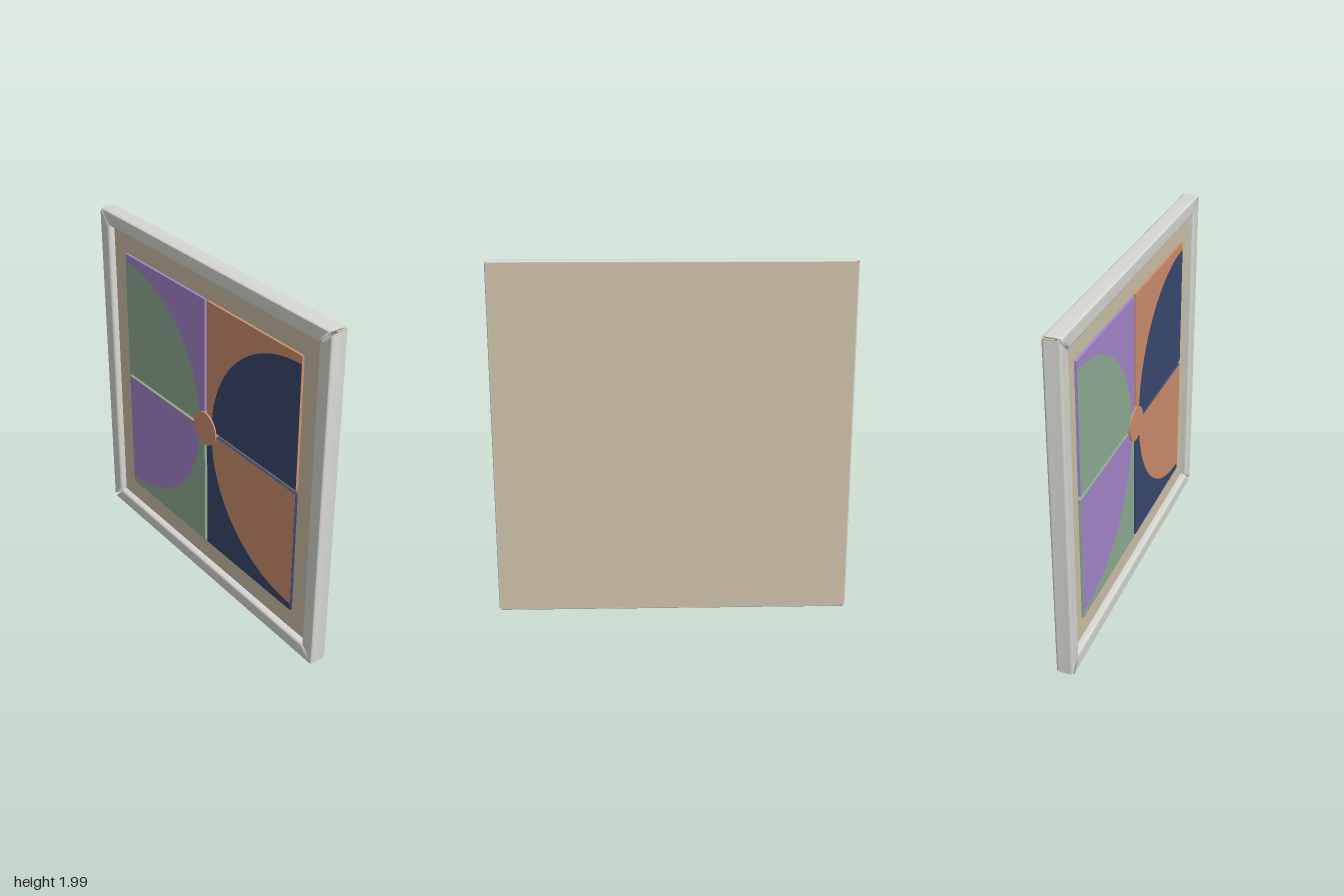
import * as THREE from 'three';
import { mergeVertices } from 'three/addons/utils/BufferGeometryUtils.js';

export function createModel() {
  const model = new THREE.Group();
  model.name = 'framedPanel';

  const colour = (name, hex) => {
    const m = new THREE.MeshStandardMaterial({ color: hex });
    m.name = name;
    return m;
  };
  const silver = colour('silver', 0xd8d8d2);
  const beige = colour('beige', 0xcfc3aa);
  const purple = colour('purple', 0xa687cd);
  const green = colour('sage green', 0x90af96);
  const orange = colour('terracotta', 0xce9070);
  const navy = colour('navy', 0x3a496f);

  const add = (name, geometry, material, x, y, z) => {
    const mesh = new THREE.Mesh(geometry, material);
    mesh.name = name;
    mesh.position.set(x, y, z);
    model.add(mesh);
    return mesh;
  };

  const midY = 1;
  const halfDepth = 0.048;

  // Mitred frame bar with rounded edges, turned four times
  const bevel = 0.016;
  const outer = 1 - bevel;
  const inner = 0.905 + bevel;
  const miter = bevel * Math.SQRT2;
  const bar = new THREE.Shape([
    new THREE.Vector2(-(inner - miter), inner),
    new THREE.Vector2(inner - miter, inner),
    new THREE.Vector2(outer - miter, outer),
    new THREE.Vector2(-(outer - miter), outer),
  ]);
  let barGeometry = new THREE.ExtrudeGeometry(bar, {
    depth: 2 * (halfDepth - bevel),
    bevelSize: bevel,
    bevelThickness: bevel,
    bevelSegments: 4,
  });
  barGeometry.translate(0, 0, bevel - halfDepth);
  barGeometry.deleteAttribute('normal');
  barGeometry.deleteAttribute('uv');
  barGeometry.clearGroups();
  barGeometry = mergeVertices(barGeometry);
  barGeometry.computeVertexNormals();
  ['frameTop', 'frameLeft', 'frameBottom', 'frameRight'].forEach((name, i) => {
    add(name, barGeometry, silver, 0, midY, 0).rotation.z = -i * Math.PI / 2;
  });

  // Backing board, just proud of the frame at the rear
  const boardFront = 0.01;
  const boardBack = -halfDepth - 0.0008;
  add('backingBoard', new THREE.BoxGeometry(1.966, 1.966, boardFront - boardBack), beige,
    0, midY, (boardFront + boardBack) / 2);

  // Four tiles, each with a quarter-round petal set in its outer corner
  const gap = 0.012;
  const size = 0.761;
  const tileDepth = 0.014;
  const tileFront = boardFront + tileDepth;
  const patternY = 1.003;
  const tileGeometry = new THREE.BoxGeometry(size, size, tileDepth);
  const tiles = [
    ['UpperLeft', 1, 1, orange, navy, Math.PI / 2],
    ['UpperRight', -1, 1, purple, green, 0],
    ['LowerRight', -1, -1, green, purple, -Math.PI / 2],
    ['LowerLeft', 1, -1, navy, orange, Math.PI],
  ];
  for (const [name, sx, sy, tileColour, petalColour, start] of tiles) {
    add('tile' + name, tileGeometry, tileColour,
      sx * (gap + size / 2), patternY + sy * (gap + size / 2), boardFront + tileDepth / 2);
    add('petal' + name, new THREE.CircleGeometry(0.717, 48, start, Math.PI / 2), petalColour,
      sx * (gap + size), patternY + sy * gap, tileFront + 0.002);
  }

  // Round boss at the centre
  const bossDepth = 0.024;
  add('centreDisc', new THREE.CylinderGeometry(0.1, 0.1, bossDepth, 48), orange,
    0, patternY, boardFront + bossDepth / 2).rotation.x = Math.PI / 2;

  return model;
}
